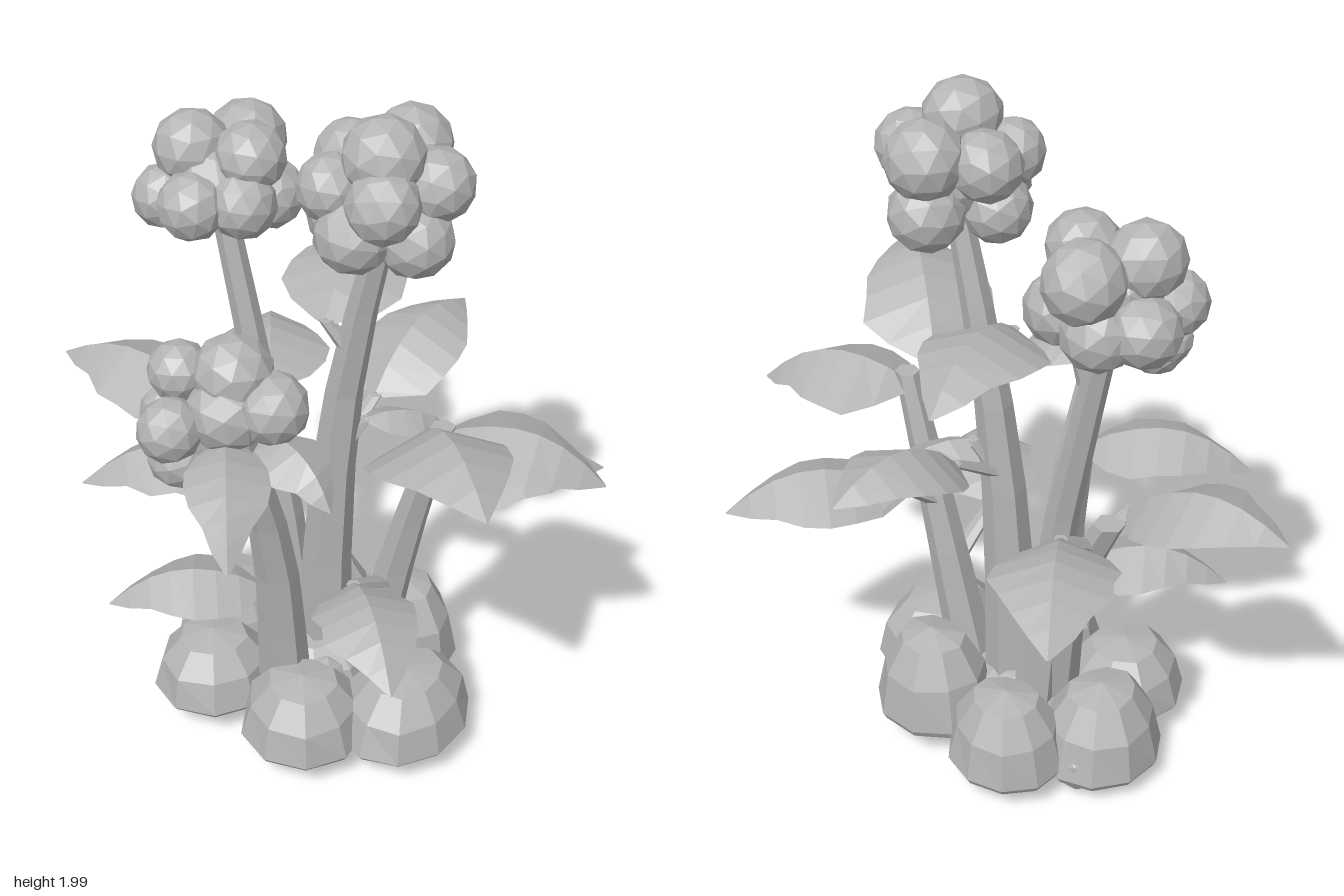
import * as THREE from 'three';

const stone = new THREE.MeshStandardMaterial({ color: 0xb4b4b4, flatShading: true });
stone.name = 'plain grey';
const V = (x, y, z) => new THREE.Vector3(x, y, z);

let seed = 7;
const rnd = () => (seed = (seed * 16807) % 2147483647) / 2147483647;

// Skin over equal rings of points, capped at both ends
function loft(rings) {
  const n = rings[0].length, idx = [];
  for (let i = 0; i < rings.length - 1; i++) {
    for (let j = 0; j < n; j++) {
      const a = i * n + j, b = i * n + (j + 1) % n;
      idx.push(a, a + n, b, b, a + n, b + n);
    }
  }
  const last = (rings.length - 1) * n;
  for (let j = 1; j < n - 1; j++) {
    idx.push(0, j, j + 1, last, last + j + 1, last + j);
  }
  const g = new THREE.BufferGeometry().setFromPoints(rings.flat());
  g.setIndex(idx);
  g.computeVertexNormals();
  return g;
}

function add(parent, geometry, name) {
  const m = new THREE.Mesh(geometry, stone);
  m.name = name;
  parent.add(m);
  return m;
}

function addGroup(parent, name) {
  const g = new THREE.Group();
  g.name = name;
  parent.add(g);
  return g;
}

// Tapering six-sided stalk along a curve
function stalk(curve, r0, r1) {
  return loft(curve.getPoints(5).map((c, i) => {
    const r = r0 + (r1 - r0) * i / 5;
    return [0, 1, 2, 3, 4, 5].map((j) => {
      const a = j * Math.PI / 3 + 0.3;
      return V(c.x + r * Math.cos(a), c.y, c.z + r * Math.sin(a));
    });
  }));
}

// Arched, ridged leaf with an uneven edge
function leaf(base, tip, breadth) {
  const length = base.distanceTo(tip), width = breadth * length, arch = 0.18 * length;
  const d = tip.clone().sub(base).normalize();
  const side = d.clone().cross(V(0, 1, 0)).normalize();
  const up = side.clone().cross(d);
  const profile = [0.15, 0.74, 0.98, 1, 0.9, 0.62, 0.36, 0.02];
  return loft(profile.map((w, i) => {
    const t = i / (profile.length - 1);
    const c = base.clone().lerp(tip, t).addScaledVector(up, arch * Math.sin(Math.PI * t));
    const edge = (s) => {
      const h = w * width / 2 * (0.9 + 0.2 * rnd());
      return c.clone().addScaledVector(side, s * h).addScaledVector(up, -0.33 * h);
    };
    const ridge = 0.016 * Math.min(1, w * 2);
    return [edge(1), c.clone().addScaledVector(up, ridge),
      edge(-1), c.clone().addScaledVector(up, -ridge)];
  }));
}

// Flat-bottomed boulder with sloping, uneven facets
function rock(sides) {
  const profile = [[0, 0], [0.93, 0], [1, 0.08], [0.87, 0.55], [0.55, 0.9], [0, 1]];
  const g = new THREE.LatheGeometry(profile.map((p) => new THREE.Vector2(...p)), sides);
  const p = g.attributes.position, phase = rnd() * 6;
  for (let i = 0; i < p.count; i++) {
    const wave = Math.sin(3 * Math.atan2(p.getX(i), p.getZ(i)) + phase);
    const s = 1 + 0.05 * wave * Math.min(1, 2 * p.getY(i));
    p.setXYZ(i, p.getX(i) * s, p.getY(i), p.getZ(i) * s);
  }
  return g;
}

// Slightly squashed faceted ball, turned at random
const ballGeometry = new THREE.IcosahedronGeometry(1, 1);
function addBall(parent, name, x, y, z, r) {
  const m = add(parent, ballGeometry, name);
  m.position.set(x, y, z);
  m.rotation.set(rnd() * 3, rnd() * 3, rnd() * 3);
  m.scale.set(r, r * (0.96 + 0.08 * rnd()), r);
}

function addBlossom(parent, name, balls) {
  const g = addGroup(parent, name);
  balls.forEach((b) => addBall(g, 'blossomBall', ...b));
}

export function createModel() {
  const model = new THREE.Group();
  model.name = 'flowering plant';

  // Boulders in a ring with one in the middle: x, y, z, half width, height, half depth
  const rocks = addGroup(model, 'rocks');
  [
    [0.15, 0.09, 0.2, 0.185, 0.21, 0.18],
    [0.36, 0.09, -0.01, 0.18, 0.21, 0.22],
    [-0.19, 0.09, 0.19, 0.18, 0.2, 0.18],
    [-0.3, 0.06, -0.04, 0.17, 0.26, 0.19],
    [0.17, 0.1, -0.25, 0.18, 0.29, 0.16],
    [-0.13, 0.08, -0.26, 0.18, 0.25, 0.16],
    [0, 0.1, -0.03, 0.2, 0.16, 0.18],
  ].forEach(([x, y, z, w, h, d], i) => {
    const m = add(rocks, rock(9 + i % 2), 'rock');
    m.position.set(x, y, z);
    m.scale.set(w, h, d);
  });

  // Lumps hanging below the boulders
  [[-0.3, 0.1, -0.12, 0.1], [0.09, 0.14, 0.04, 0.09], [-0.08, 0.14, -0.05, 0.09]]
    .forEach((b) => addBall(rocks, 'lump', ...b));

  // Three flower stems and two leafy stems
  const stems = addGroup(model, 'stems');
  const curves = [
    [0.08, 0.035, V(0.03, 0.2, -0.06), V(0.05, 0.75, -0.06), V(0.1, 1.2, -0.07), V(0.21, 1.68, -0.07)],
    [0.065, 0.035, V(-0.09, 0.2, -0.09), V(-0.14, 0.7, -0.07), V(-0.33, 1.58, -0.06)],
    [0.075, 0.04, V(0.03, 0.2, 0.13), V(0.04, 0.7, 0.19), V(0.03, 1.22, 0.34)],
    [0.07, 0.035, V(0.18, 0.2, -0.08), V(0.27, 0.65, -0.1), V(0.39, 1.1, -0.1)],
    [0.07, 0.045, V(-0.11, 0.2, -0.03), V(-0.19, 0.6, -0.06), V(-0.33, 0.9, -0.06)],
  ].map(([r0, r1, ...points]) => {
    const curve = new THREE.CatmullRomCurve3(points);
    add(stems, stalk(curve, r0, r1), 'stem');
    return curve;
  });

  // Leaves from base to tip, each on a stalk from the nearest stem just below
  const leaves = addGroup(model, 'leaves');
  const joints = curves.flatMap((c) => c.getPoints(30));
  [
    [V(-0.34, 0.92, 0.01), V(-0.8, 0.97, 0.1), 0.7],
    [V(-0.28, 0.9, -0.2), V(-0.56, 0.86, -0.56), 0.72],
    [V(0.07, 1.0, -0.24), V(0.06, 1.09, -0.69), 0.68],
    [V(0.05, 1.34, -0.03), V(-0.11, 1.34, -0.5), 0.66],
    [V(0.37, 1.06, -0.1), V(0.8, 0.99, -0.27), 0.76],
    [V(0.29, 0.8, -0.22), V(0.61, 0.77, -0.61), 0.7],
    [V(0.37, 1.1, -0.01), V(0.8, 1.23, 0.32), 0.66],
    [V(0.25, 0.62, 0.1), V(0.58, 0.59, 0.38), 0.66],
    [V(-0.05, 0.92, 0.15), V(-0.43, 0.86, 0.44), 0.62],
    [V(-0.03, 0.5, 0.15), V(-0.37, 0.45, 0.43), 0.62],
    [V(0.04, 1.18, 0.38), V(0.29, 1.04, 0.68), 0.52],
    [V(0.05, 1.12, 0.24), V(0.32, 1.02, 0.3), 0.7],
    [V(0.12, 1.0, -0.12), V(0.27, 0.8, -0.38), 0.5],
  ].forEach(([base, tip, breadth]) => {
    const below = base.clone().add(V(0, -0.1, 0));
    const joint = joints.reduce((a, b) =>
      (b.distanceTo(below) < a.distanceTo(below) ? b : a));
    add(leaves, leaf(base, tip, breadth), 'leaf');
    add(leaves, stalk(new THREE.LineCurve3(joint, base), 0.035, 0.02), 'leafStalk');
  });

  // Blossom clusters: x, y, z, radius of each ball
  addBlossom(model, 'tallBlossom', [
    [0.24, 1.89, -0.01, 0.11], [0.09, 1.82, -0.08, 0.1], [0.34, 1.81, -0.1, 0.1],
    [0.2, 1.84, -0.19, 0.11], [0.13, 1.8, 0.06, 0.09], [0.29, 1.8, 0.06, 0.1],
    [0.21, 1.7, 0.07, 0.105], [0.1, 1.68, -0.03, 0.095], [0.33, 1.68, -0.03, 0.1],
    [0.2, 1.69, -0.19, 0.105], [0.22, 1.76, -0.07, 0.13],
  ]);
  addBlossom(model, 'leftBlossom', [
    [-0.4, 1.71, -0.03, 0.105], [-0.34, 1.69, -0.19, 0.11], [-0.24, 1.71, -0.08, 0.1],
    [-0.46, 1.56, -0.1, 0.095], [-0.44, 1.58, 0.04, 0.09], [-0.32, 1.6, 0.07, 0.095],
    [-0.22, 1.6, -0.02, 0.095], [-0.24, 1.57, -0.16, 0.1], [-0.37, 1.55, -0.17, 0.1],
    [-0.34, 1.62, -0.05, 0.13],
  ]);
  addBlossom(model, 'frontBlossom', [
    [0.02, 1.34, 0.32, 0.11], [0.13, 1.27, 0.3, 0.1], [-0.11, 1.33, 0.38, 0.085],
    [-0.06, 1.22, 0.48, 0.09], [-0.15, 1.2, 0.4, 0.065], [-0.06, 1.12, 0.45, 0.085],
    [0.03, 1.25, 0.36, 0.11],
  ]);

  return model;
}
